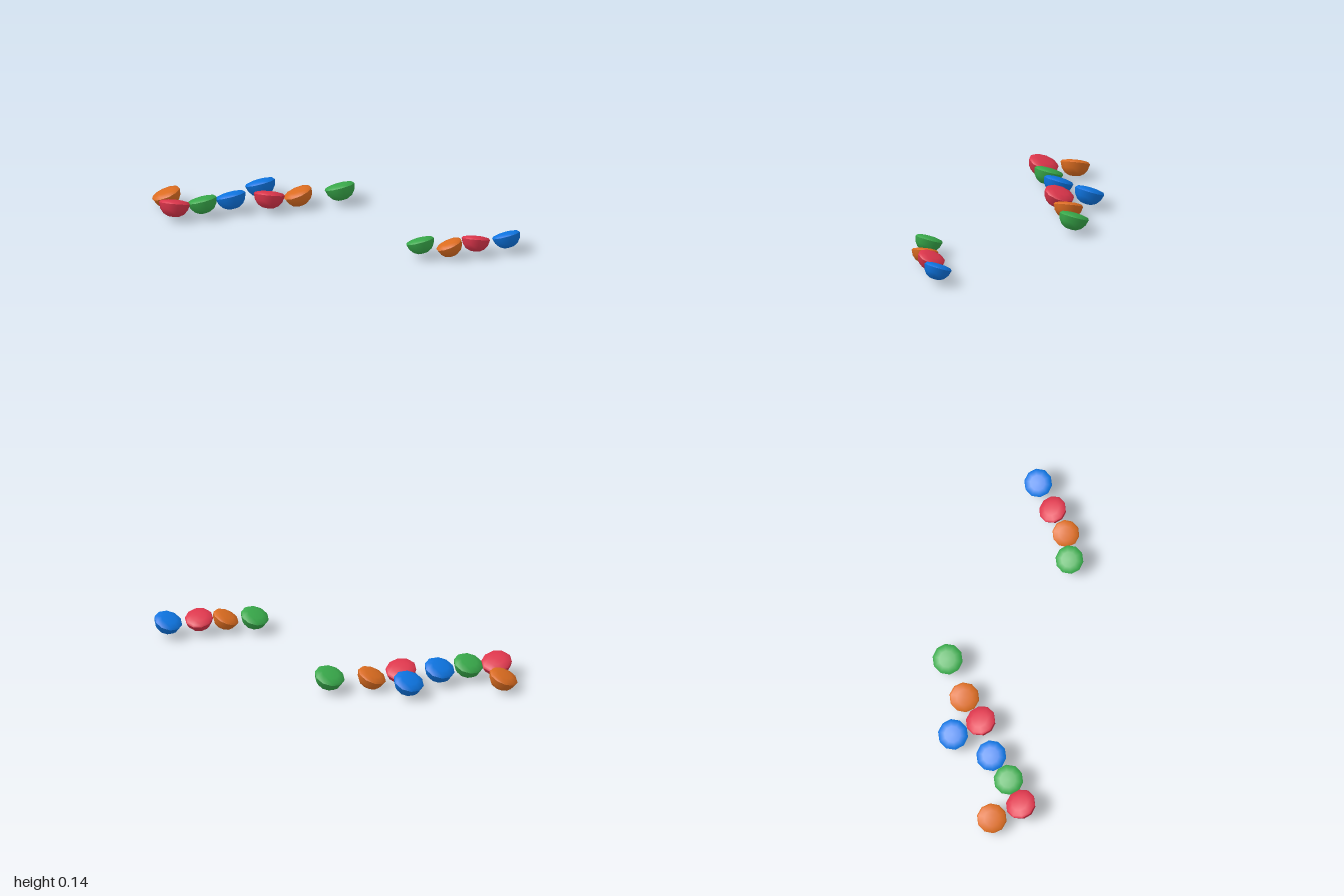
import * as THREE from 'three';
import { toCreasedNormals } from 'three/addons/utils/BufferGeometryUtils.js';

// Ten-sided pebble: deep rounded belly, rim, and a shallow crown
function pebbleGeometry() {
  const profile = [
    [0, -0.083], [0.034, -0.079], [0.062, -0.064], [0.083, -0.037],
    [0.094, 0], [0.084, 0.012], [0.05, 0.019], [0, 0.022],
  ].map(([r, y]) => new THREE.Vector2(r, y));
  return toCreasedNormals(new THREE.LatheGeometry(profile, 10), 0.9);
}

// Each colour has its own tilt (rise of the rim along x and z) and centre height
const kinds = {
  red: { color: 0xdc354b, slope: [-0.17, 0.32], y: 0.098 },
  green: { color: 0x38a84a, slope: [0.2, 0.32], y: 0.1 },
  blue: { color: 0x0d74e0, slope: [0.2, 0.34], y: 0.1 },
  orange: { color: 0xdb6c20, slope: [0.38, 0.17], y: 0.083 },
};

// kind, x, z, scale
const layout = [
  ['orange', -0.912, -0.58, 0.96],
  ['red', -0.905, -0.388, 1],
  ['green', -0.735, -0.39, 0.97],
  ['blue', -0.553, -0.42, 0.99],
  ['red', -0.322, -0.386, 1],
  ['blue', -0.335, -0.572, 0.99],
  ['orange', -0.142, -0.41, 0.96],
  ['green', 0.115, -0.403, 0.99],
  ['green', 0.39, 0.524, 0.92],
  ['orange', 0.556, 0.576, 0.87],
  ['red', 0.724, 0.564, 0.91],
  ['blue', 0.912, 0.556, 0.92],
];

export function createModel() {
  const group = new THREE.Group();
  group.name = 'pebbles';
  const geometry = pebbleGeometry();
  const materials = {};
  for (const [name, kind] of Object.entries(kinds)) {
    materials[name] = new THREE.MeshStandardMaterial({ color: kind.color });
  }

  const up = new THREE.Vector3(0, 1, 0);
  layout.forEach(([name, x, z, scale], i) => {
    const { slope, y } = kinds[name];
    const pebble = new THREE.Mesh(geometry, materials[name]);
    pebble.name = `${name}Pebble${i + 1}`;
    pebble.position.set(x, y, z);
    pebble.scale.setScalar(scale);
    const normal = new THREE.Vector3(-slope[0], 1, -slope[1]).normalize();
    pebble.quaternion.setFromUnitVectors(up, normal);
    group.add(pebble);
  });

  return group;
}
